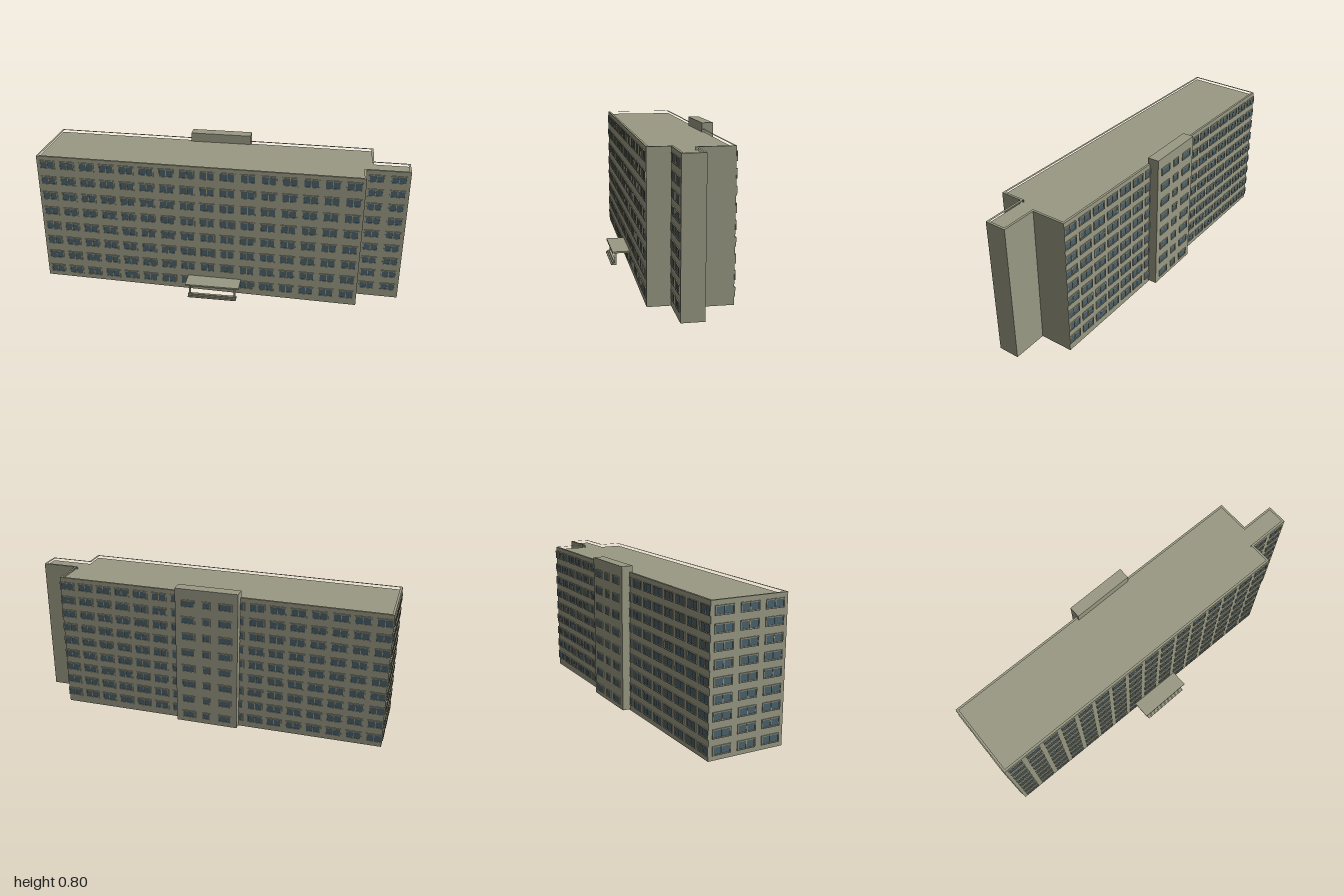
import * as THREE from 'three';
import { mergeGeometries } from 'three/addons/utils/BufferGeometryUtils.js';

const concrete = new THREE.MeshStandardMaterial({ color: 0x999984 });
concrete.name = 'concrete';
const glass = new THREE.MeshStandardMaterial({ color: 0x4b616b });
glass.name = 'glass';

// Footprint corners: x, z, and the direction towards the inside of the parapet
const CORNERS = [
  [-0.99, -0.245, 1, 1], [0.81, -0.22, -1, 1], [0.81, -0.037, -1, 1], [1, -0.035, -1, 1],
  [1, 0.08, -1, -1], [0.77, 0.078, -1, -1], [0.77, 0.195, -1, -1], [-1, 0.165, 1, -1],
];
const ROOF = 0.75, TOP = 0.767;

const outline = (inset) => CORNERS.map(([x, z, sx, sz]) => new THREE.Vector2(x + sx * inset, -(z + sz * inset)));

function addMesh(parent, name, geometry, material) {
  const mesh = new THREE.Mesh(geometry, material);
  mesh.name = name;
  parent.add(mesh);
  return mesh;
}

// Box given by its limits
function block(x0, x1, y0, y1, z0, z1) {
  return new THREE.BoxGeometry(x1 - x0, y1 - y0, z1 - z0)
    .translate((x0 + x1) / 2, (y0 + y1) / 2, (z0 + z1) / 2);
}

function extrudeUp(shape, y0, y1) {
  return new THREE.ExtrudeGeometry(shape, { depth: y1 - y0, bevelEnabled: false })
    .rotateX(-Math.PI / 2).translate(0, y0, 0);
}

// One window at local x, y: a pane with a raised surround and centre mullions
function addWindow(panes, frames, x, y, w, h, mullions) {
  const t = 0.005, d = 0.005, l = x - w / 2, r = x + w / 2, b = y - h / 2, top = y + h / 2;
  panes.push(new THREE.PlaneGeometry(w, h).translate(x, y, 0.002));
  frames.push(
    block(l - t, r + t, top, top + t, -0.001, d),
    block(l - t, r + t, b - t, b, -0.001, d),
    block(l - t, l, b, top, -0.001, d),
    block(r, r + t, b, top, -0.001, d));
  for (let i = 1; i <= mullions; i++) {
    const mx = l + (w * i) / (mullions + 1);
    frames.push(block(mx - 0.002, mx + 0.002, b, top, -0.001, d));
  }
}

// Wall of windows running from corner a to corner b, with local z pointing outwards
function addFacade(parent, name, a, b, windows) {
  const group = new THREE.Group();
  group.name = name;
  group.position.set(a[0], 0, a[1]);
  group.rotation.y = -Math.atan2(b[1] - a[1], b[0] - a[0]);
  const panes = [], frames = [];
  for (const [x, y, w, h, m] of windows) addWindow(panes, frames, x, y, w, h, m);
  addMesh(group, name + 'Glass', mergeGeometries(panes), glass);
  addMesh(group, name + 'Frames', mergeGeometries(frames), concrete);
  parent.add(group);
}

// Regular grid of windows, with an optional test for places to leave out
function grid(cols, x0, dx, rows, y0, dy, w, h, skip = () => false) {
  const list = [];
  for (let r = 0; r < rows; r++)
    for (let c = 0; c < cols; c++)
      if (!skip(c, r)) list.push([x0 + c * dx, y0 + r * dy, w, h, 1]);
  return list;
}

export function createModel() {
  const model = new THREE.Group();
  model.name = 'apartmentBlock';

  // Main body, with its base following the sloping ground
  const body = extrudeUp(new THREE.Shape(outline(0)), 0, ROOF);
  const p = body.attributes.position;
  for (let i = 0; i < p.count; i++)
    if (p.getY(i) < 0.1) p.setY(i, 0.01 * (1 - p.getX(i)));
  body.computeVertexNormals();
  addMesh(model, 'body', body, concrete);

  // Parapet around the roof
  const rim = new THREE.Shape(outline(0));
  rim.holes.push(new THREE.Path(outline(0.012)));
  addMesh(model, 'parapet', extrudeUp(rim, ROOF, TOP), concrete);

  // Stair tower at the back
  addMesh(model, 'stairTower', block(-0.215, 0.125, 0.02, 0.8, -0.28, -0.217), concrete);

  // Window walls
  addFacade(model, 'frontWindows', [-1, 0.165], [0.77, 0.195],
    grid(16, 0.059, 0.1103, 8, 0.067, 0.0932, 0.074, 0.04,
      (c, r) => r === 0 && (c === 8 || c === 9)));
  addFacade(model, 'wingWindows', [0.77, 0.078], [1, 0.08],
    grid(2, 0.056, 0.115, 9, 0.067, 0.0816, 0.073, 0.034));
  addFacade(model, 'backWindows', [0.81, -0.22], [-0.99, -0.245],
    grid(17, 0.04, 0.1075, 9, 0.067, 0.0816, 0.074, 0.036, (c) => c > 6 && c < 9));
  addFacade(model, 'endWindows', [-0.99, -0.245], [-1, 0.165],
    grid(3, 0.07, 0.135, 9, 0.067, 0.0816, 0.09, 0.036));
  const tower = [];
  for (let r = 0; r < 8; r++) {
    const y = 0.066 + r * 0.0935;
    tower.push([0.07, y, 0.066, 0.032, 0], [0.17, y, 0.036, 0.032, 0], [0.272, y, 0.066, 0.032, 0]);
  }
  addFacade(model, 'towerWindows', [0.125, -0.28], [-0.215, -0.28], tower);

  // Entrance doors, under the canopy
  addFacade(model, 'entranceDoors', [-1, 0.165], [0.77, 0.195], [[0.985, 0.06, 0.17, 0.048, 6]]);

  // Canopy with posts standing on steps
  const porch = new THREE.Group();
  porch.name = 'entrancePorch';
  model.add(porch);
  addMesh(porch, 'canopy', block(-0.17, 0.13, 0.09, 0.099, 0.175, 0.28), concrete);
  for (const x of [-0.145, 0.105])
    addMesh(porch, 'post', block(x - 0.005, x + 0.005, 0.03, 0.09, 0.256, 0.266), concrete);
  for (let i = 0; i < 3; i++)
    addMesh(porch, 'step', block(-0.155, 0.115, 0.02 + i * 0.005, 0.025 + i * 0.005, 0.256, 0.286 - i * 0.008), concrete);

  return model;
}
